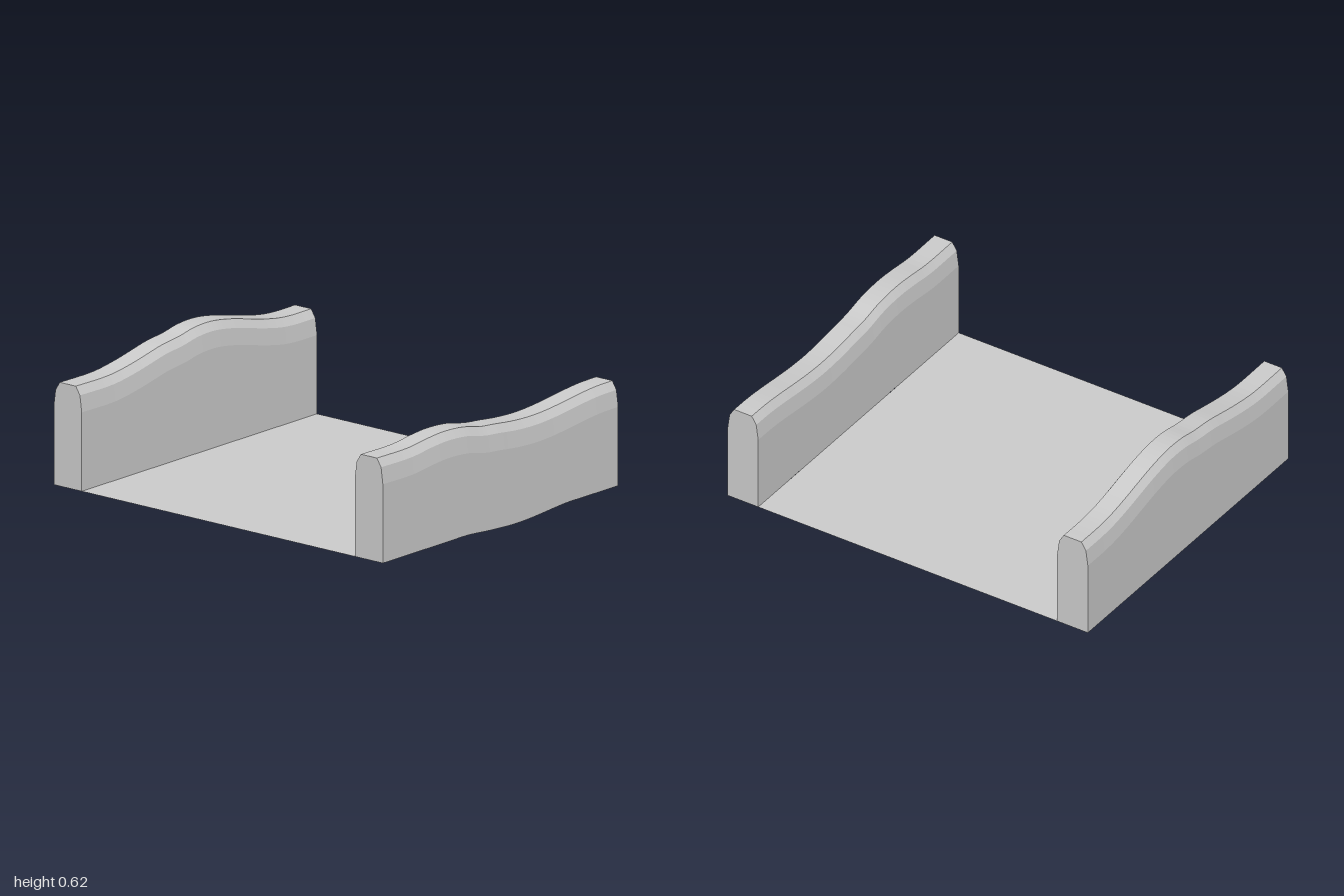
import * as THREE from 'three';

const HALF_X = 0.84, FLOOR_Y = 0.02, WALL_Z = 0.915;

// Half cross-section of a wall: [distance from its mid plane, height]
const half = [[0.085, FLOOR_Y], [0.085, 0.40], [0.074, 0.48], [0.049, 0.52]];
// Whole outline, up the back side and down the front side
const outline = [
  ...half.map(([z, y]) => [-z, y]),
  ...half.slice().reverse(),
];

// Wave along each wall: [x, rise of the top, rise of the underside]
const frontWave = [
  [-0.84, 0, 0], [-0.62, 0, 0], [-0.48, 0.015, 0], [-0.37, 0.022, 0], [-0.23, 0.014, 0],
  [-0.1, -0.012, -0.01], [0, -0.022, -0.016], [0.12, -0.035, -0.02], [0.25, -0.041, -0.015],
  [0.36, -0.037, -0.007], [0.47, -0.027, 0], [0.6, -0.012, 0], [0.72, -0.002, 0], [0.84, 0, 0],
];
const backWave = [
  [-0.84, 0, 0], [-0.6, 0, 0], [-0.45, 0.019, 0], [-0.33, 0.042, 0], [-0.23, 0.062, 0],
  [-0.1, 0.077, 0], [0, 0.095, 0], [0.12, 0.099, 0], [0.25, 0.082, 0], [0.36, 0.058, 0],
  [0.48, 0.03, 0], [0.6, 0.008, 0], [0.7, 0, 0], [0.84, 0, 0],
];

const material = new THREE.MeshStandardMaterial({
  color: 0xcccccc, flatShading: true, side: THREE.DoubleSide,
});

// Sweep the outline along x, lifting it by the wave
function makeWall(name, wave, z) {
  const stations = new THREE.CatmullRomCurve3(
    wave.map((p) => new THREE.Vector3(...p))).getPoints(52);
  const n = outline.length, last = (stations.length - 1) * n;
  const positions = [], index = [];

  stations.forEach((s, i) => {
    for (const [oz, oy] of outline) {
      positions.push(s.x, oy + (oy > FLOOR_Y ? s.y : s.z), oz);
    }
    if (i === 0) return;
    for (let j = 0; j < n; j++) {
      const k = (j + 1) % n;
      const a = (i - 1) * n + j, b = (i - 1) * n + k, c = i * n + k, d = i * n + j;
      index.push(a, b, c, a, c, d);
    }
  });

  // End caps
  for (let j = 1; j < n - 1; j++) {
    index.push(0, j + 1, j, last, last + j, last + j + 1);
  }

  const geometry = new THREE.BufferGeometry();
  geometry.setAttribute('position', new THREE.Float32BufferAttribute(positions, 3));
  geometry.setIndex(index);
  geometry.computeVertexNormals();
  const wall = new THREE.Mesh(geometry, material);
  wall.name = name;
  wall.position.z = z;
  return wall;
}

export function createModel() {
  const group = new THREE.Group();
  group.name = 'walledFloor';

  // Thin floor sheet between the walls
  const floor = new THREE.Mesh(
    new THREE.PlaneGeometry(HALF_X * 2, 1.66).rotateX(-Math.PI / 2), material);
  floor.name = 'floor';
  floor.position.y = FLOOR_Y;

  group.add(
    floor,
    makeWall('frontWall', frontWave, WALL_Z),
    makeWall('backWall', backWave, -WALL_Z),
  );
  return group;
}
